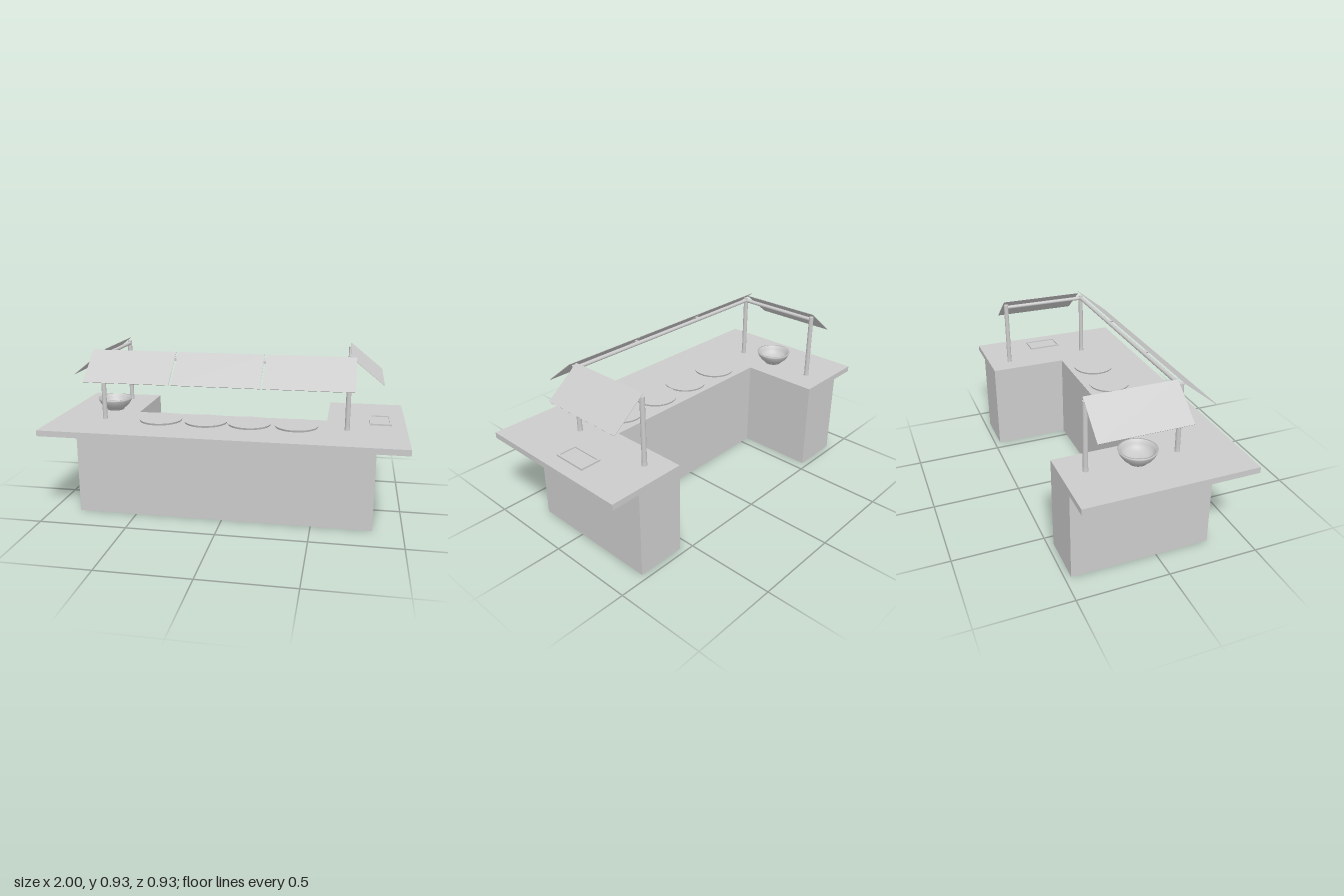
import * as THREE from 'three';

const mat = new THREE.MeshStandardMaterial({ color: 0xcccccc, side: THREE.DoubleSide });

export function createModel() {
  const root = new THREE.Group();
  const add = (name, geo, x = 0, y = 0, z = 0, parent = root) => {
    const m = new THREE.Mesh(geo, mat);
    m.name = name;
    m.position.set(x, y, z);
    parent.add(m);
    return m;
  };

  // U-shaped slab, open towards the back, standing from y0 to y1
  const uSlab = (name, xMin, xMax, zBack, zFront, y0, y1) => {
    const pts = [[xMin, zFront], [xMax, zFront], [xMax, zBack], [0.56, zBack],
      [0.56, -0.02], [-0.56, -0.02], [-0.56, zBack], [xMin, zBack]];
    const shape = new THREE.Shape(pts.map(([x, z]) => new THREE.Vector2(x, -z)));
    const geo = new THREE.ExtrudeGeometry(shape, { depth: y1 - y0, bevelEnabled: false });
    geo.rotateX(-Math.PI / 2);
    add(name, geo, 0, y0, 0);
  };
  uSlab('counterBase', -0.838, 0.836, -0.467, 0.302, 0, 0.491);
  uSlab('counterTop', -1, 1, -0.467, 0.467, 0.491, 0.524);

  // Posts with collars, and the rails joining them
  const top = 0.524, railY = 0.889, xR = -0.714, xL = 0.676, zF = 0.158, zB = -0.339;
  for (const x of [xR, xL]) {
    for (const z of [zF, zB]) {
      add('post', new THREE.CylinderGeometry(0.0132, 0.0132, 0.905 - top, 20), x, (0.905 + top) / 2, z);
      add('postCollar', new THREE.CylinderGeometry(0.0135, 0.015, 0.02, 20), x, top + 0.01, z);
    }
    const side = new THREE.CylinderGeometry(0.011, 0.011, zF - zB, 16).rotateX(Math.PI / 2);
    add('sideRail', side, x, railY, (zF + zB) / 2);
  }
  const front = new THREE.CylinderGeometry(0.011, 0.011, xL - xR, 16).rotateZ(Math.PI / 2);
  add('frontRail', front, (xL + xR) / 2, railY, zF);

  // Sloping guard panels, hung from their upper edge and turned outwards
  const drop = 0.15, reach = 0.187;
  const panel = (name, width, x, z, yaw) => {
    const g = new THREE.Group();
    g.name = name;
    g.position.set(x, 0.925, z);
    g.rotation.y = yaw;
    const m = add(name + 'Sheet', new THREE.BoxGeometry(width, 0.003, Math.hypot(drop, reach)),
      0, -drop / 2, reach / 2, g);
    m.rotation.x = Math.atan2(drop, reach);
    root.add(g);
  };
  for (const x of [-0.523, -0.027, 0.469]) panel('frontGuard', 0.484, x, 0.152, 0);
  panel('leftGuard', 0.49, 0.677, -0.104, Math.PI / 2);
  panel('rightGuard', 0.49, -0.709, -0.104, -Math.PI / 2);

  // Clips holding the front panels where they meet
  for (const x of [-0.275, 0.221]) {
    add('guardClip', new THREE.CylinderGeometry(0.007, 0.007, 0.035, 12).rotateX(Math.PI / 2), x, railY, zF + 0.018);
  }

  // Row of round plates
  for (const x of [-0.385, -0.12, 0.131, 0.396]) {
    add('plate', new THREE.CylinderGeometry(0.124, 0.12, 0.011, 40), x, top + 0.0055, 0.135);
  }

  // Bowl with a foot and a thick rim
  const outer = [[0, 0], [0.05, 0], [0.05, 0.007], [0.058, 0.011], [0.077, 0.026], [0.091, 0.045],
    [0.099, 0.062], [0.102, 0.073]];
  const inner = [[0.092, 0.073], [0.086, 0.054], [0.074, 0.036], [0.054, 0.02], [0, 0.015]];
  const profile = [...outer, ...inner].map(([r, y]) => new THREE.Vector2(r, y));
  add('bowl', new THREE.LatheGeometry(profile, 40), -0.73, top, -0.07);

  // Shallow tray: raised rim around a thin floor
  const rect = (S, w, d) => new S([[-w, -d], [w, -d], [w, d], [-w, d]].map(([x, y]) => new THREE.Vector2(x, y)));
  const rim = rect(THREE.Shape, 0.06, 0.098);
  rim.holes.push(rect(THREE.Path, 0.049, 0.087));
  const rimGeo = new THREE.ExtrudeGeometry(rim, { depth: 0.01, bevelEnabled: false }).rotateX(-Math.PI / 2);
  add('trayRim', rimGeo, 0.86, top + 0.001, -0.056);
  add('trayFloor', new THREE.BoxGeometry(0.1, 0.003, 0.176), 0.86, top + 0.0025, -0.056);

  return root;
}
